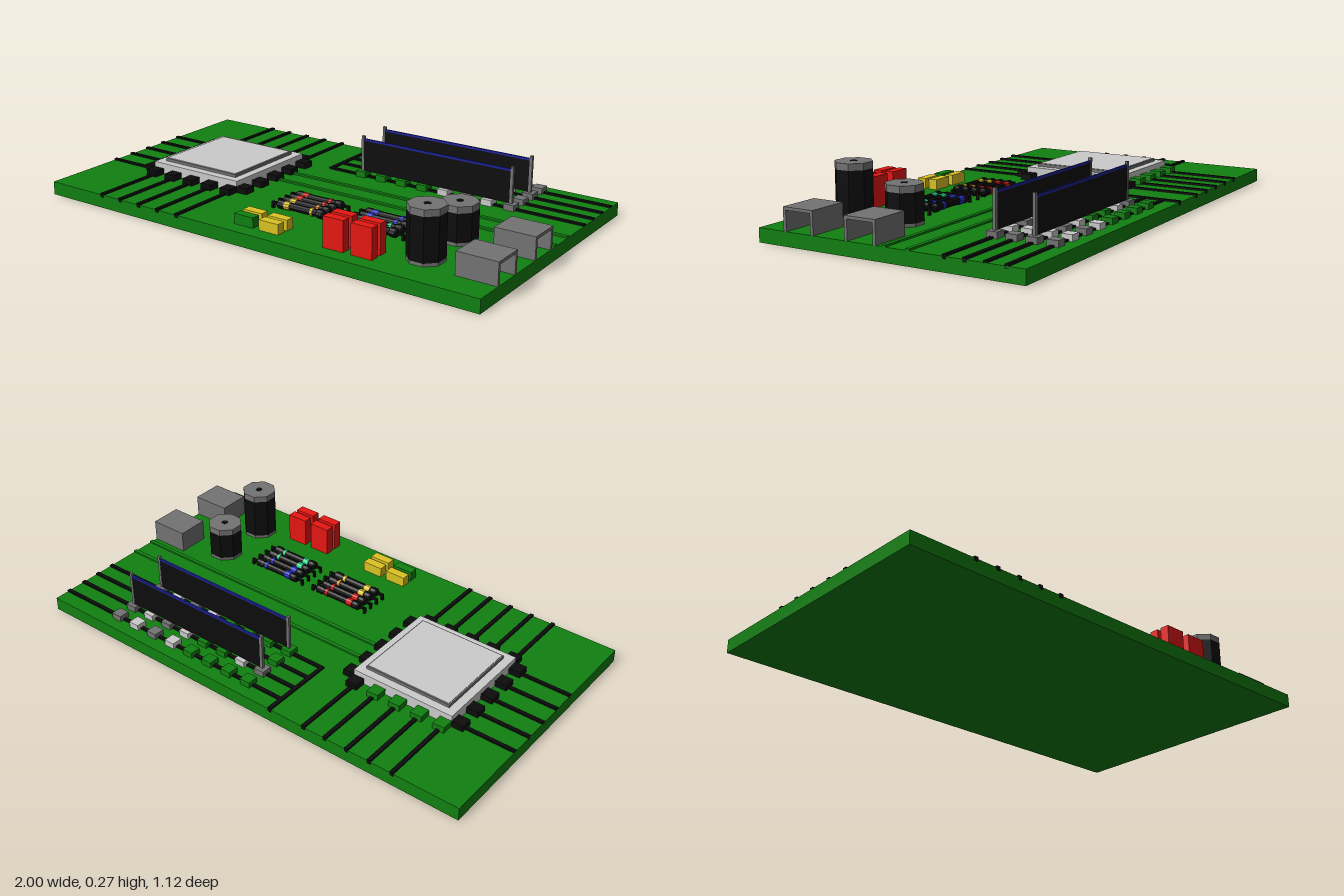
import * as THREE from 'three';

const mat = (color) => new THREE.MeshStandardMaterial({ color, flatShading: true });
const green = mat(0x118011), black = mat(0x0c0c0c), grey = mat(0x737373), light = mat(0xcccccc);
const red = mat(0xe61712), yellow = mat(0xdcc322), orange = mat(0xf08a1e);
const blue = mat(0x2a35e0), navy = mat(0x1c2299), mint = mat(0x1fd98a);
const TOP = 0.055; // upper face of the board

function add(parent, name, geometry, material, x = 0, y = 0, z = 0) {
  const mesh = new THREE.Mesh(geometry, material);
  mesh.name = name;
  mesh.position.set(x, y, z);
  parent.add(mesh);
  return mesh;
}

// box given by its extents
function box(parent, name, material, x0, x1, y0, y1, z0, z1) {
  return add(parent, name, new THREE.BoxGeometry(x1 - x0, y1 - y0, z1 - z0), material,
    (x0 + x1) / 2, (y0 + y1) / 2, (z0 + z1) / 2);
}

function pad(parent, material, x, z, w = 0.05, d = 0.05) {
  box(parent, 'solderPad', material, x - w / 2, x + w / 2, TOP, 0.08, z - d / 2, z + d / 2);
}

function traceX(parent, material, x0, x1, z) {
  box(parent, 'trace', material, x0, x1, TOP - 0.01, 0.062, z - 0.008, z + 0.008);
}

function traceZ(parent, material, x, z0, z1) {
  box(parent, 'trace', material, x - 0.008, x + 0.008, TOP - 0.01, 0.062, z0, z1);
}

function group(parent, name) {
  const g = new THREE.Group();
  g.name = name;
  parent.add(g);
  return g;
}

// processor with a raised lid, pads on all four sides and traces to the board edges
function buildProcessor(parent) {
  const g = group(parent, 'processor'), cx = -0.522;
  box(g, 'processorBody', light, -0.745, -0.3, TOP, 0.102, -0.222, 0.222);
  box(g, 'processorLid', grey, cx - 0.188, cx + 0.188, 0.102, 0.114, -0.188, 0.188);
  box(g, 'lidPlate', light, cx - 0.182, cx + 0.182, 0.114, 0.116, -0.182, 0.182);
  for (let i = -2; i <= 2; i++) {
    const s = i * 0.099, x = cx + s;
    pad(g, black, -0.77, s);
    pad(g, black, -0.275, s);
    pad(g, black, x, 0.247);
    pad(g, i === 2 ? black : green, x, -0.247);
    traceX(g, black, -1, -0.79, s);
    traceZ(g, black, x, 0.27, 0.56);
    traceZ(g, black, x, -0.56, -0.27);
  }
  for (const z of [-0.099, 0]) traceX(g, green, -0.25, 1, z);
}

// four bus lines with pads, two of them carrying upright memory cards
function buildMemory(parent) {
  const g = group(parent, 'memoryBank');
  traceZ(g, black, -0.163, -0.56, -0.24);
  [-0.488, -0.406, -0.326, -0.246].forEach((z, row) => {
    traceX(g, black, -0.163, 1, z);
    for (let i = 0; i < 8; i++) {
      let m = i < 4 ? green : i % 2 ? grey : light;
      if (row === 1 && i === 0) m = grey;
      if (row === 1 && i === 1) m = light;
      pad(g, m, i * 0.0986, z, 0.046, 0.046);
    }
    if (row % 2 === 0) return;
    const card = group(g, 'memoryCard');
    for (const x of [0, 0.69]) box(card, 'cardPost', grey, x - 0.006, x + 0.006, 0.06, 0.23, z - 0.006, z + 0.006);
    box(card, 'cardPanel', black, 0.006, 0.684, 0.08, 0.21, z - 0.004, z + 0.004);
    box(card, 'cardStrip', navy, 0.006, 0.684, 0.21, 0.219, z - 0.004, z + 0.004);
  });
}

// resistor lying along x, with end bulbs, bent leads and two colour bands
function buildResistor(parent, x, z, wide, narrow) {
  const g = group(parent, 'resistor');
  g.position.set(x, 0.077, z);
  const profile = [[0, -0.112], [0.013, -0.11], [0.018, -0.104], [0.018, -0.082], [0.015, -0.074],
    [0.015, 0.074], [0.018, 0.082], [0.018, 0.104], [0.013, 0.11], [0, 0.112]];
  add(g, 'resistorBody', new THREE.LatheGeometry(profile.map((p) => new THREE.Vector2(...p)), 10), black)
    .rotation.z = -Math.PI / 2;
  for (const [bx, w, m] of [[-0.062, 0.026, wide], [0.055, 0.012, narrow]]) {
    add(g, 'colourBand', new THREE.CylinderGeometry(0.0172, 0.0172, w, 10), m, bx).rotation.z = Math.PI / 2;
  }
  for (const s of [-1, 1]) {
    box(g, 'lead', black, s * 0.122 - 0.018, s * 0.122 + 0.018, -0.005, 0.005, -0.005, 0.005);
    box(g, 'leadFoot', black, s * 0.135 - 0.005, s * 0.135 + 0.005, -0.024, 0.005, -0.005, 0.005);
  }
}

// upright can capacitor with eight sides
function buildCan(parent, z, height) {
  const g = group(parent, 'canCapacitor');
  const ring = (name, m, r, y0, y1, sides = 8) => {
    add(g, name, new THREE.CylinderGeometry(r, r, y1 - y0, sides), m, 0.682, (y0 + y1) / 2, z)
      .rotation.y = Math.PI / sides;
  };
  ring('canFoot', grey, 0.072, TOP, 0.068);
  ring('canBody', black, 0.073, 0.068, height - 0.026);
  ring('canCap', grey, 0.073, height - 0.026, height);
  ring('canVent', black, 0.014, height - 0.002, height + 0.001, 12);
}

// hollow socket that opens towards the board's edge
function buildSocket(parent, z) {
  const g = group(parent, 'socket'), h = 0.067, t = 0.012;
  box(g, 'socketRoof', grey, 0.835, 1, 0.145 - t, 0.145, z - h, z + h);
  box(g, 'socketBack', grey, 0.835, 0.835 + t, TOP, 0.145 - t, z - h, z + h);
  box(g, 'socketSide', grey, 0.835 + t, 1, TOP, 0.145 - t, z - h, z - h + t);
  box(g, 'socketSide', grey, 0.835 + t, 1, TOP, 0.145 - t, z + h - t, z + h);
}

export function createModel() {
  const model = new THREE.Group();
  model.name = 'circuitBoard';
  box(model, 'board', green, -1, 1, 0, TOP, -0.558, 0.558);
  buildProcessor(model);
  buildMemory(model);

  // two banks of four resistors
  const bands = [
    [0.062, [[red, red], [red, red], [yellow, orange], [yellow, yellow]]],
    [0.39, [[blue, blue], [blue, blue], [mint, mint], [mint, mint]]],
  ];
  for (const [x, rows] of bands) {
    rows.forEach(([wide, narrow], i) => buildResistor(model, x, 0.15 + i * 0.041, wide, narrow));
  }

  // block capacitors: low yellow ones and tall red ones, in two rows
  [0.423, 0.477].forEach((z, row) => {
    const block = (m, x, h) => box(model, 'blockCapacitor', m, x - 0.045, x + 0.045, TOP, h, z - 0.019, z + 0.019);
    block(row ? green : yellow, -0.042, 0.097);
    block(yellow, 0.076, 0.097);
    block(red, 0.367, 0.177);
    block(red, 0.489, 0.177);
  });

  buildCan(model, 0.146, 0.207);
  buildCan(model, 0.376, 0.266);
  buildSocket(model, 0.1);
  buildSocket(model, 0.373);
  return model;
}
